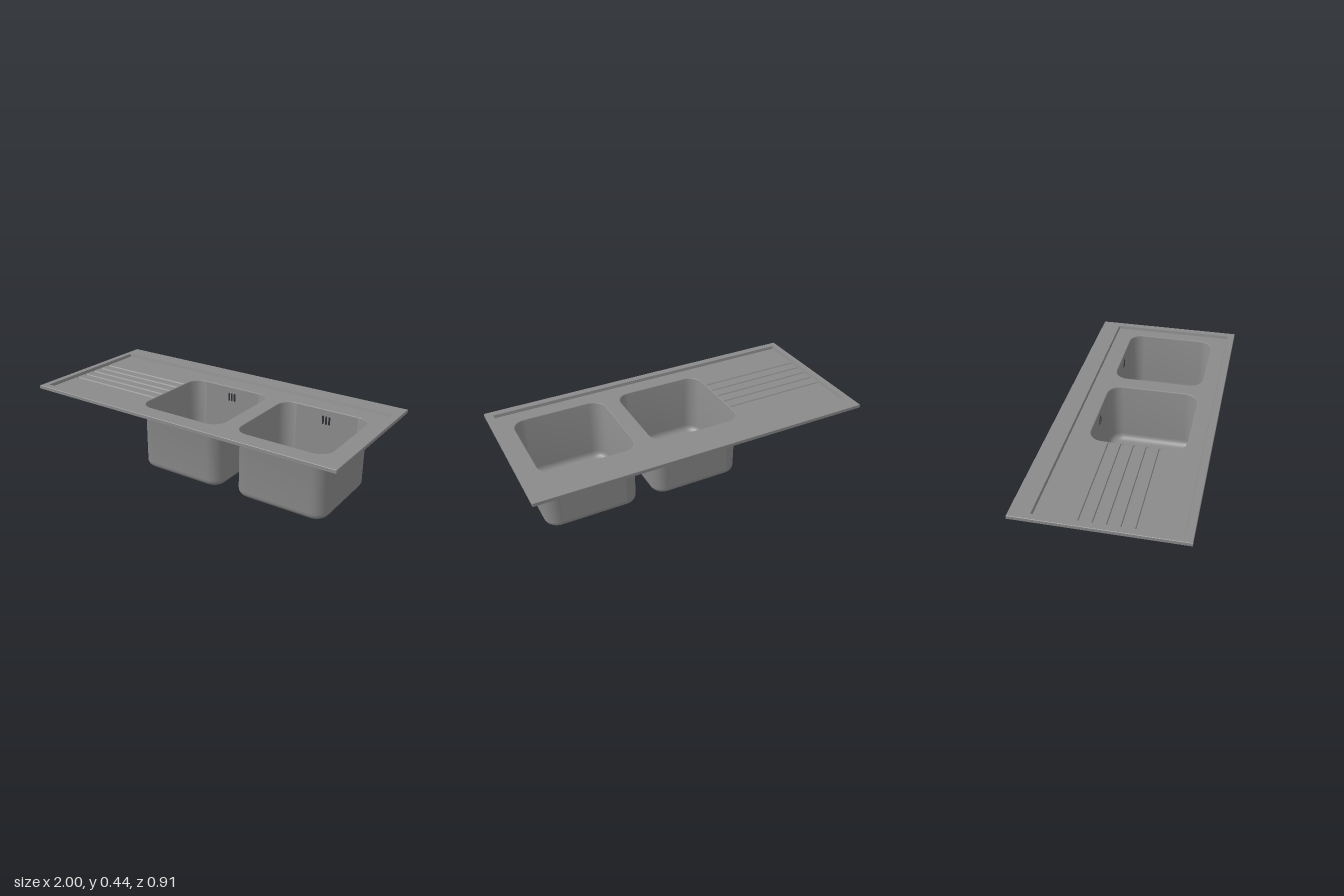
import * as THREE from 'three';
import { toCreasedNormals } from 'three/addons/utils/BufferGeometryUtils.js';

const material = new THREE.MeshStandardMaterial({ color: 0x8a8a8a, side: THREE.DoubleSide });
const RIM = 0.44, PANEL = 0.422, FLOOR = 0.032;
const BOWL_Z = 0.042, HALF = 0.273, CORNER = 0.08, ROUND = 0.04, STEPS = 8;
const DRAIN_R = 0.055;

// Rounded rectangle in the xz plane, as a list of [x, z]
function rounded(cx, cz, hx, hz, r = 0, n = 0) {
  const points = [];
  [[1, 1], [-1, 1], [-1, -1], [1, -1]].forEach(([sx, sz], k) => {
    for (let j = 0; j <= n; j++) {
      const a = (k + (n ? j / n : 0.5)) * Math.PI / 2;
      points.push([cx + sx * (hx - r) + r * Math.cos(a), cz + sz * (hz - r) + r * Math.sin(a)]);
    }
  });
  return points;
}

// Skin between closed rings { y, points }; skip leaves out chosen quads
function loft(rings, skip = () => false) {
  const n = rings[0].points.length, position = [], index = [];
  for (const { y, points } of rings) for (const [x, z] of points) position.push(x, y, z);
  for (let r = 0; r < rings.length - 1; r++) {
    for (let i = 0; i < n; i++) {
      if (skip(r, i)) continue;
      const a = r * n + i, b = r * n + (i + 1) % n;
      index.push(a, a + n, b, b, a + n, b + n);
    }
  }
  const geometry = new THREE.BufferGeometry();
  geometry.setAttribute('position', new THREE.Float32BufferAttribute(position, 3));
  geometry.setIndex(index);
  return toCreasedNormals(geometry, 0.6);
}

// Flat horizontal sheet with holes
function sheet(outline, holes, y) {
  const vectors = (points) => points.map(([x, z]) => new THREE.Vector2(x, -z));
  const shape = new THREE.Shape(vectors(outline));
  shape.holes = holes.map((h) => new THREE.Path(vectors(h)));
  return new THREE.ShapeGeometry(shape).rotateX(-Math.PI / 2).translate(0, y, 0);
}

function circle(cx, cz, r, n = 40) {
  return Array.from({ length: n }, (_, i) => {
    const a = i / n * Math.PI * 2;
    return [cx + r * Math.cos(a), cz + r * Math.sin(a)];
  });
}

function add(group, name, geometry) {
  const mesh = new THREE.Mesh(geometry, material);
  mesh.name = name;
  group.add(mesh);
}

const bowlRing = (x, inset) => rounded(x, BOWL_Z, HALF - inset, HALF - inset, CORNER - inset, STEPS);

function makeBowl(x) {
  const bowl = new THREE.Group();
  bowl.name = 'bowl';

  // Lip, straight wall and rounded bottom edge
  const lip = 0.005, wallTop = PANEL - lip, wallBottom = FLOOR + ROUND;
  const rings = [];
  for (let i = 0; i <= 3; i++) {
    const a = i / 3 * Math.PI / 2;
    rings.push({ y: wallTop + lip * Math.cos(a), points: bowlRing(x, -lip * (1 - Math.sin(a))) });
  }
  for (let i = 0; i <= 6; i++) {
    const a = i / 6 * Math.PI / 2;
    rings.push({ y: wallBottom - ROUND * Math.sin(a), points: bowlRing(x, ROUND * (1 - Math.cos(a))) });
  }
  const backSide = 3 * (STEPS + 1) - 1;
  add(bowl, 'bowlWall', loft(rings, (r, i) => r === 3 && i === backSide));

  // Flat back wall pierced by three overflow slots
  const w = HALF - CORNER;
  const wall = new THREE.Shape([[-w, wallBottom], [w, wallBottom], [w, wallTop], [-w, wallTop]]
    .map(([px, py]) => new THREE.Vector2(px, py)));
  for (const sx of [-0.02, 0, 0.02]) {
    const slot = new THREE.Path();
    slot.absarc(sx, 0.375, 0.006, 0, Math.PI);
    slot.absarc(sx, 0.335, 0.006, Math.PI, Math.PI * 2);
    wall.holes.push(slot);
  }
  add(bowl, 'overflowWall', new THREE.ShapeGeometry(wall, 6).translate(x, 0, BOWL_Z - HALF));

  // Floor with the drain opening
  add(bowl, 'bowlFloor', sheet(bowlRing(x, ROUND), [circle(x, BOWL_Z, DRAIN_R)], FLOOR));
  const drain = makeDrain();
  drain.position.set(x, 0, BOWL_Z);
  bowl.add(drain);
  return bowl;
}

function makeDrain() {
  const drain = new THREE.Group();
  drain.name = 'drain';

  // Shallow cup below the floor
  const profile = [[DRAIN_R, FLOOR], [0.055, 0.026], [0.053, 0.021], [0.049, 0.017], [0.044, 0.0155]]
    .map(([r, y]) => new THREE.Vector2(r, y));
  add(drain, 'drainCup', new THREE.LatheGeometry(profile, 40));

  // Strainer plate with radial slots over a thin backing disc
  const slots = Array.from({ length: 12 }, (_, i) => {
    const a = i / 12 * Math.PI * 2, c = Math.cos(a), s = Math.sin(a);
    return [[0.02, -0.003], [0.038, -0.004], [0.038, 0.004], [0.02, 0.003]]
      .map(([u, v]) => [u * c - v * s, u * s + v * c]);
  });
  add(drain, 'strainer', sheet(circle(0, 0, 0.044), slots, 0.0155));
  add(drain, 'backingDisc', new THREE.CylinderGeometry(0.044, 0.044, 0.001, 40).translate(0, 0.0105, 0));

  // Centre knob and screw
  add(drain, 'drainKnob', new THREE.CylinderGeometry(0.01, 0.012, 0.006, 20).translate(0, 0.0185, 0));
  add(drain, 'drainScrew', new THREE.CylinderGeometry(0.005, 0.005, 0.016, 16).translate(0, 0.008, 0));

  // Ribs of the strainer basket, radiating to the edge of the opening
  for (let i = 0; i < 18; i++) {
    add(drain, 'basketRib', new THREE.BoxGeometry(0.022, 0.01, 0.005)
      .translate(0.049, 0.029, 0).rotateY(i / 18 * Math.PI * 2));
  }
  return drain;
}

export function createModel() {
  const sink = new THREE.Group();
  sink.name = 'doubleBowlSink';
  const bowlXs = [-0.04, 0.608];

  // Raised rim: outer skirt, top face and step down to the panel
  const outer = (inset) => rounded(0, 0, 1 - inset, 0.455 - inset);
  const panel = (inset) => rounded(-0.0025, 0.035, 0.9595 - inset, 0.377 - inset);
  add(sink, 'rim', loft([
    { y: 0.42, points: outer(0) },
    { y: RIM - 0.002, points: outer(0) },
    { y: RIM, points: outer(0.002) },
    { y: RIM, points: panel(0) },
    { y: PANEL, points: panel(0.004) },
  ]));

  // Drainer grooves, running from the panel edge to the bowl lip
  const groove = (z, inset) => rounded(-0.6375, z, 0.318 - inset / 4, 0.009 - inset);
  const grooveZs = [-0.105, -0.034, 0.037, 0.108, 0.18];
  for (const z of grooveZs) {
    add(sink, 'drainerGroove', loft([
      { y: PANEL, points: groove(z, 0) },
      { y: PANEL - 0.006, points: groove(z, 0.004) },
    ]));
    add(sink, 'grooveFloor', sheet(groove(z, 0.004), [], PANEL - 0.006));
  }

  // Recessed panel, open at the bowls and grooves
  const holes = [...bowlXs.map((x) => bowlRing(x, -0.005)), ...grooveZs.map((z) => groove(z, 0))];
  add(sink, 'panel', sheet(panel(0.004), holes, PANEL));

  for (const x of bowlXs) sink.add(makeBowl(x));
  return sink;
}
